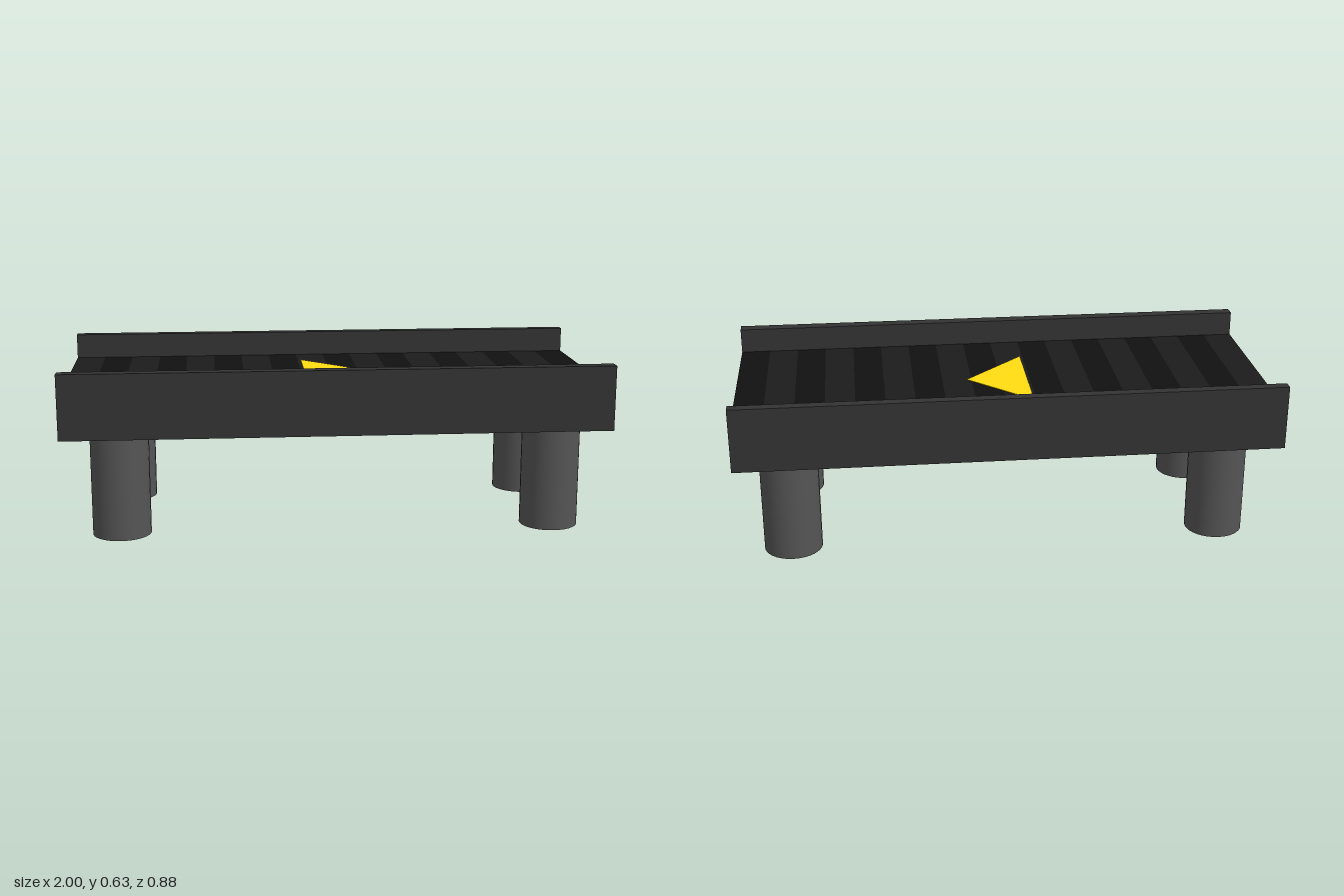
import * as THREE from 'three';

const mat = (color, side = THREE.FrontSide) => new THREE.MeshStandardMaterial({ color, side });

export function createModel() {
  const group = new THREE.Group();
  const frameMat = mat(0x333333);
  const legMat = mat(0x555555);
  const beltMats = [mat(0x1c1c1c), mat(0x111111)];

  const add = (name, geometry, material, x, y, z) => {
    const mesh = new THREE.Mesh(geometry, material);
    mesh.name = name;
    mesh.position.set(x, y, z);
    group.add(mesh);
    return mesh;
  };

  // Bed with a raised rail along each long side, extruded along x
  const profile = new THREE.Shape([
    [-0.438, 0.394], [0.438, 0.394], [0.438, 0.634], [0.392, 0.634],
    [0.392, 0.538], [-0.4, 0.538], [-0.4, 0.634], [-0.438, 0.634],
  ].map(([z, y]) => new THREE.Vector2(-z, y)));
  const frame = new THREE.ExtrudeGeometry(profile, { depth: 2, bevelEnabled: false });
  frame.translate(0, 0, -1).rotateY(Math.PI / 2);
  add('frame', frame, frameMat, 0, 0, 0);

  // Belt surface made of alternating slats
  const count = 18, width = 2 / count;
  const slat = new THREE.PlaneGeometry(width, 0.792).rotateX(-Math.PI / 2);
  for (let i = 0; i < count; i++) {
    add('beltSlat', slat, beltMats[i % 2], -1 + (i + 0.5) * width, 0.54, -0.004);
  }

  // Direction arrow lying just above the belt
  const arrowShape = new THREE.Shape([
    new THREE.Vector2(-0.1, -0.21), new THREE.Vector2(0.13, 0.018), new THREE.Vector2(-0.1, 0.245),
  ]);
  const arrow = new THREE.ExtrudeGeometry(arrowShape, { depth: 0.003, bevelEnabled: false });
  arrow.rotateX(-Math.PI / 2);
  add('directionArrow', arrow, mat(0xffdd11), 0, 0.544, 0);

  // Four round legs
  const leg = new THREE.CylinderGeometry(0.108, 0.108, 0.4, 32);
  for (const x of [-0.797, 0.808]) {
    for (const z of [-0.258, 0.264]) add('leg', leg, legMat, x, 0.2, z);
  }
  return group;
}
